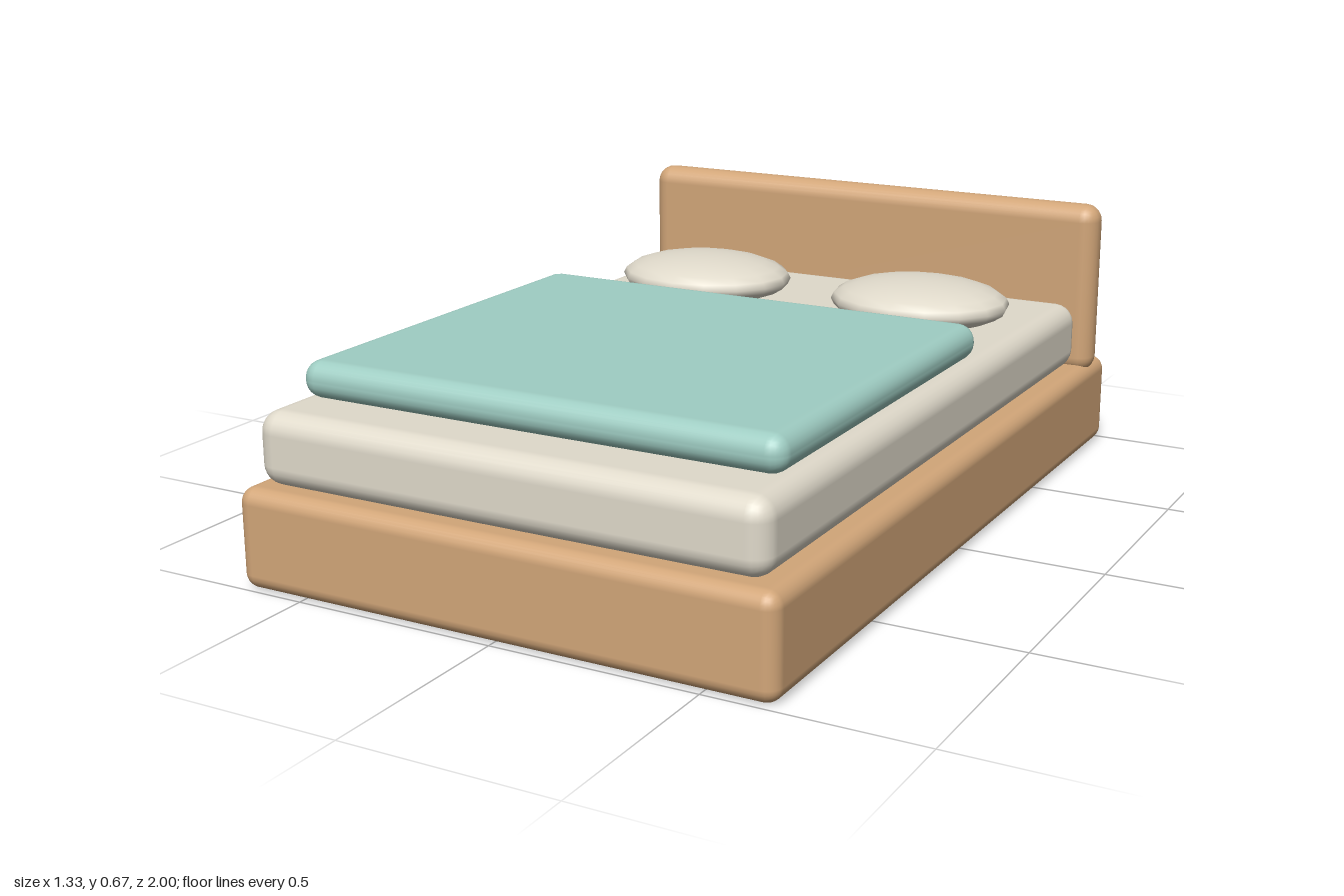
import * as THREE from 'three';
import { RoundedBoxGeometry } from 'three/addons/geometries/RoundedBoxGeometry.js';

export function createModel() {
  const model = new THREE.Group();
  model.name = 'bed';

  const material = (name, color) => {
    const m = new THREE.MeshStandardMaterial({ color });
    m.name = name;
    return m;
  };
  const wood = material('wood', 0xd2a679);
  const linen = material('linen', 0xe0dacb);
  const teal = material('teal', 0x9fcdc3);

  const add = (name, geometry, mat, x, y, z) => {
    const mesh = new THREE.Mesh(geometry, mat);
    mesh.name = name;
    mesh.position.set(x, y, z);
    model.add(mesh);
    return mesh;
  };

  // Soft-edged slab given by its half width and its y and z limits
  const slab = (name, mat, halfWidth, [y0, y1], [z0, z1], radius) =>
    add(name, new RoundedBoxGeometry(halfWidth * 2, y1 - y0, z1 - z0, 3, radius),
      mat, 0, (y0 + y1) / 2, (z0 + z1) / 2);

  // Wooden base and headboard
  slab('frame', wood, 0.667, [0, 0.237], [-1, 1], 0.036);
  slab('headboard', wood, 0.667, [0.213, 0.668], [-0.934, -0.842], 0.044);

  // Bedding
  slab('mattress', linen, 0.63, [0.237, 0.41], [-0.85, 0.97], 0.05);
  slab('blanket', teal, 0.6, [0.41, 0.497], [-0.2, 0.845], 0.041);

  // Pillows: flattened spheres sunk slightly into the mattress
  const pillow = new THREE.SphereGeometry(1, 16, 12).scale(0.235, 0.062, 0.198);
  for (const side of [1, -1]) {
    add(side > 0 ? 'leftPillow' : 'rightPillow', pillow, linen, side * 0.313, 0.449, -0.517);
  }

  return model;
}
